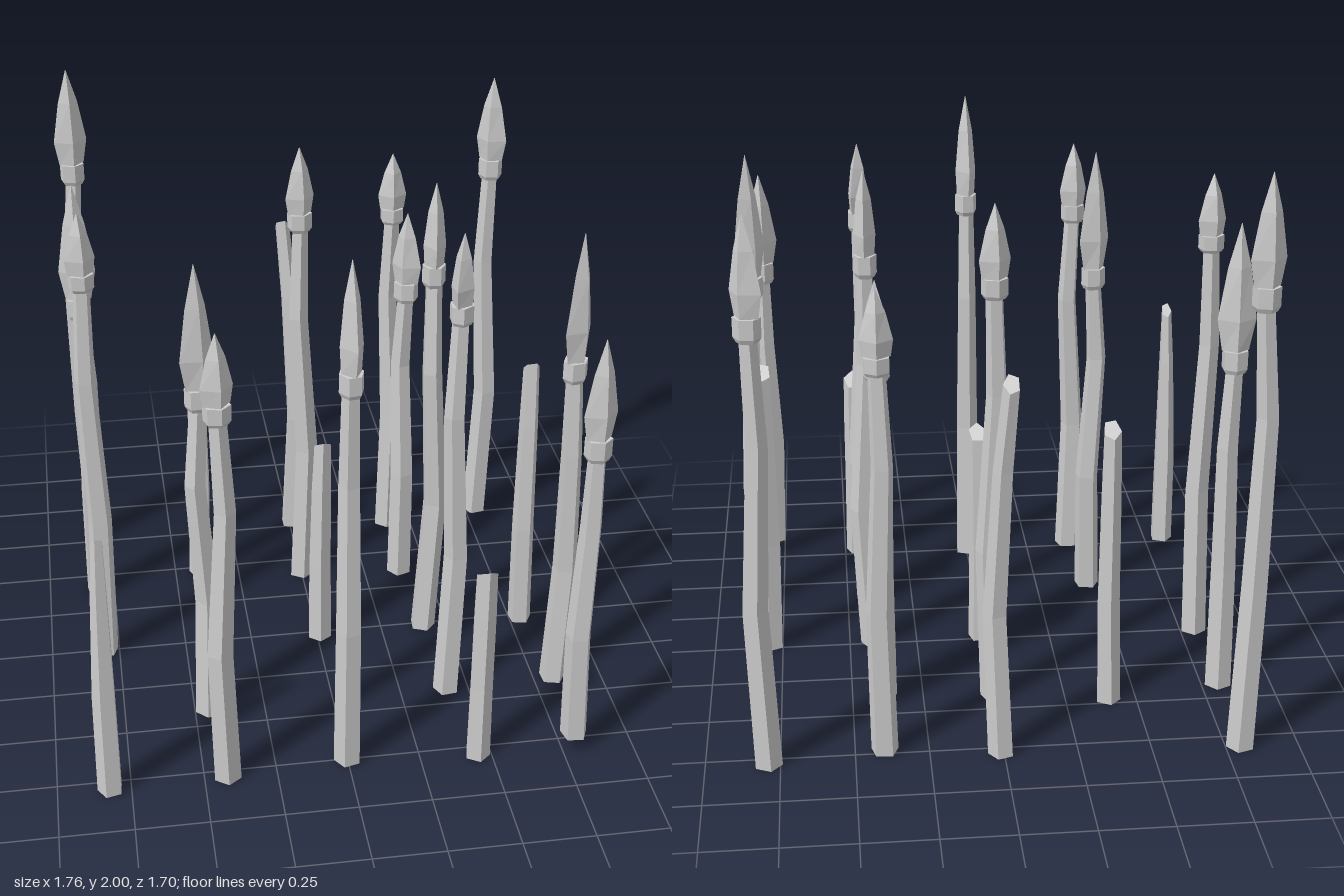
import * as THREE from 'three';

const material = new THREE.MeshStandardMaterial({ color: 0xcccccc, flatShading: true });

// Closed faceted solid through rings {x, y, z, rx, rz, slant}
function loft(rings, sides, phase = 0) {
  const point = (r, j) => {
    const a = phase + (j / sides) * Math.PI * 2;
    const c = Math.cos(a), s = Math.sin(a);
    return [(r.x || 0) + c * r.rx, r.y + (r.slant || 0) * s, (r.z || 0) + s * r.rz];
  };
  const center = (r) => [r.x || 0, r.y, r.z || 0];
  const pos = [];
  const first = rings[0], last = rings[rings.length - 1];
  for (let j = 0; j < sides; j++) {
    for (let i = 0; i + 1 < rings.length; i++) {
      const a = point(rings[i], j), b = point(rings[i], j + 1);
      const c = point(rings[i + 1], j), d = point(rings[i + 1], j + 1);
      pos.push(...a, ...c, ...b, ...b, ...c, ...d);
    }
    pos.push(...center(first), ...point(first, j), ...point(first, j + 1));
    pos.push(...center(last), ...point(last, j + 1), ...point(last, j));
  }
  const geometry = new THREE.BufferGeometry();
  geometry.setAttribute('position', new THREE.Float32BufferAttribute(pos, 3));
  geometry.computeVertexNormals();
  return geometry;
}

function part(name, geometry) {
  const mesh = new THREE.Mesh(geometry, material);
  mesh.name = name;
  return mesh;
}

// Crooked shaft with two bends, optionally broken off at a slant
function shaft(bottom, top, mid, upper, radius, topRadius, phase, slant = 0, end = [0, 0]) {
  const at = (t) => bottom + (top - bottom) * t;
  const upperRadius = radius * 0.4 + topRadius * 0.6;
  return part('shaft', loft([
    { y: bottom, rx: radius, rz: radius },
    { x: mid[0], z: mid[1], y: at(0.38), rx: radius * 0.93, rz: radius * 0.93 },
    { x: upper[0], z: upper[1], y: at(0.76), rx: upperRadius, rz: upperRadius },
    { x: end[0], z: end[1], y: top - slant, rx: topRadius, rz: topRadius, slant },
  ], 5, phase));
}

// Binding under the blade, chamfered at the bottom
function collar(y, h) {
  return part('collar', loft([
    { y, rx: 0.037, rz: 0.033 },
    { y: y + h * 0.2, rx: 0.046, rz: 0.041 },
    { y: y + h, rx: 0.046, rz: 0.041 },
  ], 6, Math.PI / 6));
}

// Leaf-shaped blade with a ridge down each face
function blade(y, tip, w) {
  const h = tip - y;
  return part('blade', loft([
    { y, rx: 0.046, rz: 0.034 },
    { y: y + h * 0.25, rx: w, rz: 0.039 },
    { y: y + h * 0.66, rx: w * 0.59, rz: 0.026 },
    { y: tip, rx: 0.001, rz: 0.001 },
  ], 4));
}

// x, z, collar height, tip height, yaw, mid bend x/z, upper bend x/z
const spears = [
  [-0.80, -0.81, 1.56, 2.00, 0.25, -0.02, 0.01, -0.03, 0.01],
  [0.40, -0.73, 1.36, 1.64, 0.0, 0.01, 0.0, -0.01, -0.01],
  [0.79, -0.78, 1.50, 1.90, -0.6, 0.02, 0.01, -0.01, 0.0],
  [-0.81, -0.40, 1.20, 1.72, 0.0, 0.0, 0.01, 0.01, 0.0],
  [0.00, -0.41, 1.49, 1.81, 0.3, 0.02, 0.0, -0.01, 0.01],
  [0.39, -0.37, 1.20, 1.55, -0.6, 0.0, 0.01, -0.01, -0.02],
  [-0.80, 0.00, 1.50, 1.78, 0.3, 0.01, 0.01, -0.01, 0.01],
  [0.41, 0.01, 1.44, 1.82, 1.5, 0.03, 0.0, 0.0, 0.02],
  [-0.45, 0.41, 1.24, 1.76, 0.5, 0.01, -0.01, -0.02, 0.01],
  [0.42, 0.41, 1.49, 1.81, 1.05, 0.02, -0.01, -0.01, 0.01],
  [0.82, 0.40, 1.24, 1.78, 0.65, 0.02, -0.01, 0.01, 0.0],
  [-0.42, 0.78, 1.39, 1.70, 0.3, -0.015, 0.015, 0.015, 0.0],
  [0.00, 0.75, 1.44, 1.90, -1.4, 0.0, 0.01, 0.0, -0.01],
  [0.79, 0.80, 1.17, 1.60, 0.25, -0.015, 0.01, 0.0, 0.0],
];

// x, z, top height, bend x/z, top offset x/z, top radius
const brokenShafts = [
  [0.01, -0.78, 1.37, 0.02, 0.02, -0.025, -0.03, 0.028],
  [-0.40, -0.47, 1.06, 0.01, 0.0, 0.01, 0.0, 0.032],
  [0.01, 0.02, 0.86, 0.0, 0.0, 0.01, 0.0, 0.032],
  [0.79, 0.02, 1.12, -0.01, 0.01, -0.01, -0.01, 0.03],
  [-0.82, 0.79, 1.03, 0.0, 0.0, 0.01, 0.01, 0.02],
  [0.45, 0.79, 0.78, 0.0, 0.0, 0.0, 0.0, 0.038],
];

export function createModel() {
  const model = new THREE.Group();
  model.name = 'spearField';

  spears.forEach(([x, z, base, tip, yaw, mx, mz, ux, uz], i) => {
    const spear = new THREE.Group();
    spear.name = 'spear';
    spear.position.set(x, 0, z);
    const bottom = i === spears.length - 1 ? 0.06 : 0;
    const h = Math.min(0.08, (tip - base) * 0.22);
    const head = new THREE.Group();
    head.name = 'spearhead';
    head.rotation.y = yaw;
    head.add(collar(base, h), blade(base + h * 0.98, tip, 0.04 + (tip - base) * 0.05));
    spear.add(shaft(bottom, base + 0.02, [mx, mz], [ux, uz], 0.048, 0.03, i * 0.37), head);
    model.add(spear);
  });

  brokenShafts.forEach(([x, z, top, bx, bz, ex, ez, topRadius], i) => {
    const stub = new THREE.Group();
    stub.name = 'brokenSpear';
    stub.position.set(x, 0, z);
    const upper = [(bx + ex) / 2, (bz + ez) / 2];
    stub.add(shaft(0, top, [bx, bz], upper, 0.045, topRadius, i * 0.8, 0.025, [ex, ez]));
    model.add(stub);
  });
  return model;
}
